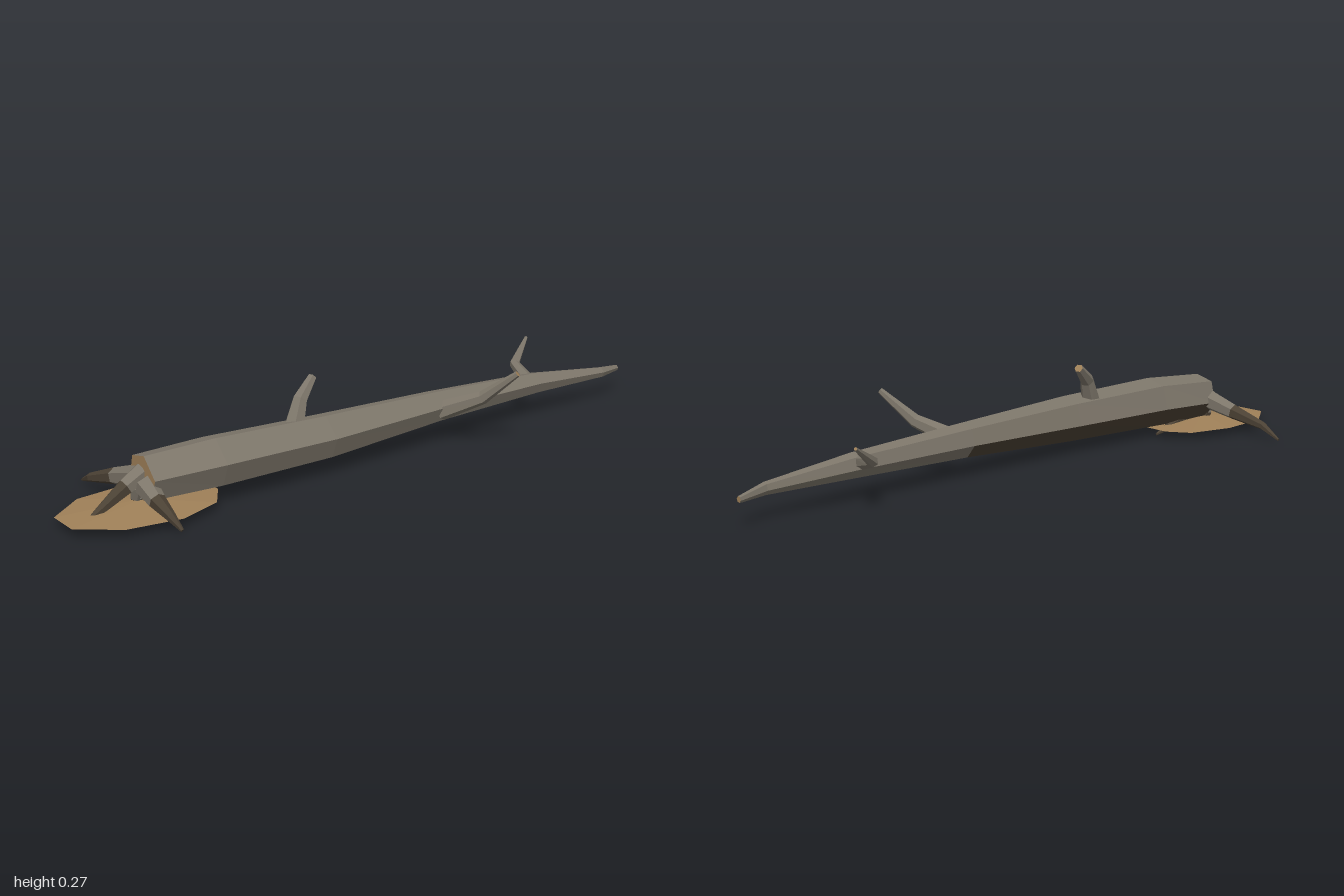
import * as THREE from 'three';

const mat = (name, color) => Object.assign(new THREE.MeshStandardMaterial({ color, flatShading: true }), { name });

// Flat-shaded skin over a list of rings; pick(segment, side) gives the material index.
function skin(rings, pick, capStart, capEnd) {
  const faces = [[], [], []];
  const tri = (m, ...pts) => pts.forEach((p) => faces[m].push(p.x, p.y, p.z));
  const n = rings[0].length;
  for (let i = 0; i < rings.length - 1; i++) {
    for (let j = 0; j < n; j++) {
      const k = (j + 1) % n, a = rings[i], b = rings[i + 1], m = pick(i, j);
      tri(m, a[j], a[k], b[k]);
      tri(m, a[j], b[k], b[j]);
    }
  }
  const cap = (ring, m, flip) => {
    for (let j = 1; j < n - 1; j++) {
      if (flip) tri(m, ring[0], ring[j + 1], ring[j]);
      else tri(m, ring[0], ring[j], ring[j + 1]);
    }
  };
  cap(rings[0], capStart, true);
  cap(rings[rings.length - 1], capEnd, false);
  const geo = new THREE.BufferGeometry();
  geo.setAttribute('position', new THREE.Float32BufferAttribute(faces.flat(), 3));
  let start = 0;
  faces.forEach((f, m) => {
    if (f.length) geo.addGroup(start, f.length / 3, m);
    start += f.length / 3;
  });
  geo.computeVertexNormals();
  return geo;
}

// Tapered limb through points [x, y, z, radius].
function limb(points, pick, capEnd, sides = 6) {
  const c = points.map((p) => new THREE.Vector3(p[0], p[1], p[2]));
  const u = new THREE.Vector3(), v = new THREE.Vector3();
  const rings = c.map((p, i) => {
    const t = c[Math.min(i + 1, c.length - 1)].clone().sub(c[Math.max(i - 1, 0)]).normalize();
    if (i === 0) u.set(Math.abs(t.y) > 0.8 ? 1 : 0, Math.abs(t.y) > 0.8 ? 0 : 1, 0);
    u.addScaledVector(t, -u.dot(t)).normalize();
    v.crossVectors(t, u);
    return Array.from({ length: sides }, (_, j) => {
      const a = (j / sides) * Math.PI * 2;
      return p.clone().addScaledVector(u, Math.cos(a) * points[i][3]).addScaledVector(v, Math.sin(a) * points[i][3]);
    });
  });
  return skin(rings, pick, 0, capEnd);
}

export function createModel() {
  const group = new THREE.Group();
  const bark = mat('bark', 0x7d766a);
  const wood = mat('cutWood', 0x9f8058);
  const dark = mat('darkBark', 0x4b4134);
  const mats = [bark, wood, dark];
  const add = (name, geo, material = mats) => {
    const mesh = new THREE.Mesh(geo, material);
    mesh.name = name;
    group.add(mesh);
  };

  // Trunk: uneven six-sided section, [x, centre y, centre z, half height, half width]
  const section = [[1, 0.18], [0.2, 1], [-0.7, 0.65], [-1, -0.35], [-0.2, -1], [0.78, -0.75]];
  const stations = [
    [-0.77, 0.1, 0.062, 0.068, 0.068],
    [-0.56, 0.106, 0.075, 0.073, 0.075],
    [-0.2, 0.104, 0.073, 0.066, 0.068],
    [0.22, 0.106, 0.045, 0.048, 0.05],
    [0.62, 0.1, 0.026, 0.034, 0.034],
    [0.9, 0.084, 0.024, 0.017, 0.016],
    [0.995, 0.076, -0.003, 0.009, 0.009],
  ];
  const rings = stations.map(([x, y, z, h, w]) =>
    section.map(([sy, sz]) => new THREE.Vector3(x, y + sy * h, z + sz * w)));
  // Damp underside on the thick half
  add('trunk', skin(rings, (i, j) => (i < 3 && (j === 2 || j === 3) ? 2 : 0), 1, 1));

  // Broken branches with pale ends
  const branches = [
    [[-0.285, 0.15, 0.055, 0.03], [-0.255, 0.217, 0.04, 0.022], [-0.195, 0.265, 0.013, 0.013]],
    [[0.22, 0.1, 0.07, 0.03], [0.295, 0.152, 0.17, 0.02], [0.353, 0.235, 0.255, 0.009]],
    [[0.605, 0.11, 0.01, 0.022], [0.635, 0.132, -0.085, 0.016], [0.728, 0.19, -0.14, 0.005]],
  ];
  branches.forEach((b, i) => add('branch' + (i + 1), limb(b, () => 0, 1)));

  // Roots, darker toward the tips
  const roots = [
    [[-0.765, 0.1, 0.04, 0.034], [-0.775, 0.068, -0.08, 0.024], [-0.795, 0.037, -0.185, 0.013], [-0.785, 0.006, -0.258, 0.004]],
    [[-0.76, 0.115, 0.05, 0.03], [-0.815, 0.085, 0.05, 0.024], [-0.88, 0.045, 0.052, 0.015], [-0.945, 0.01, 0.058, 0.004]],
    [[-0.77, 0.09, 0.08, 0.032], [-0.772, 0.065, 0.14, 0.024], [-0.763, 0.036, 0.195, 0.014], [-0.752, 0.007, 0.233, 0.005]],
    [[-0.77, 0.07, 0.06, 0.026], [-0.7, 0.045, 0.055, 0.02], [-0.62, 0.025, 0.048, 0.014], [-0.555, 0.008, 0.04, 0.004]],
    [[-0.775, 0.08, 0.05, 0.026], [-0.775, 0.045, 0.04, 0.02], [-0.765, 0.007, 0.035, 0.005]],
  ];
  roots.forEach((r, i) => add('root' + (i + 1), limb(r, (s) => (s > 0 ? 2 : 0), 2)));

  // Shallow soil patch: irregular outline rising slightly to the middle
  const rim = [[-1, 0], [-1, 0.1], [-0.89, 0.185], [-0.73, 0.205], [-0.6, 0.155], [-0.545, 0.07], [-0.545, -0.01], [-0.59, -0.075], [-0.73, -0.105], [-0.89, -0.085]];
  const pos = [];
  rim.forEach((a, i) => {
    const b = rim[(i + 1) % rim.length];
    pos.push(a[0], 0.026, a[1], b[0], 0.026, b[1], -0.77, 0.042, 0.05);
    pos.push(b[0], 0.026, b[1], a[0], 0.026, a[1], -0.77, 0.024, 0.05);
  });
  const soil = new THREE.BufferGeometry();
  soil.setAttribute('position', new THREE.Float32BufferAttribute(pos, 3));
  soil.computeVertexNormals();
  add('soilPatch', soil, wood);

  return group;
}
